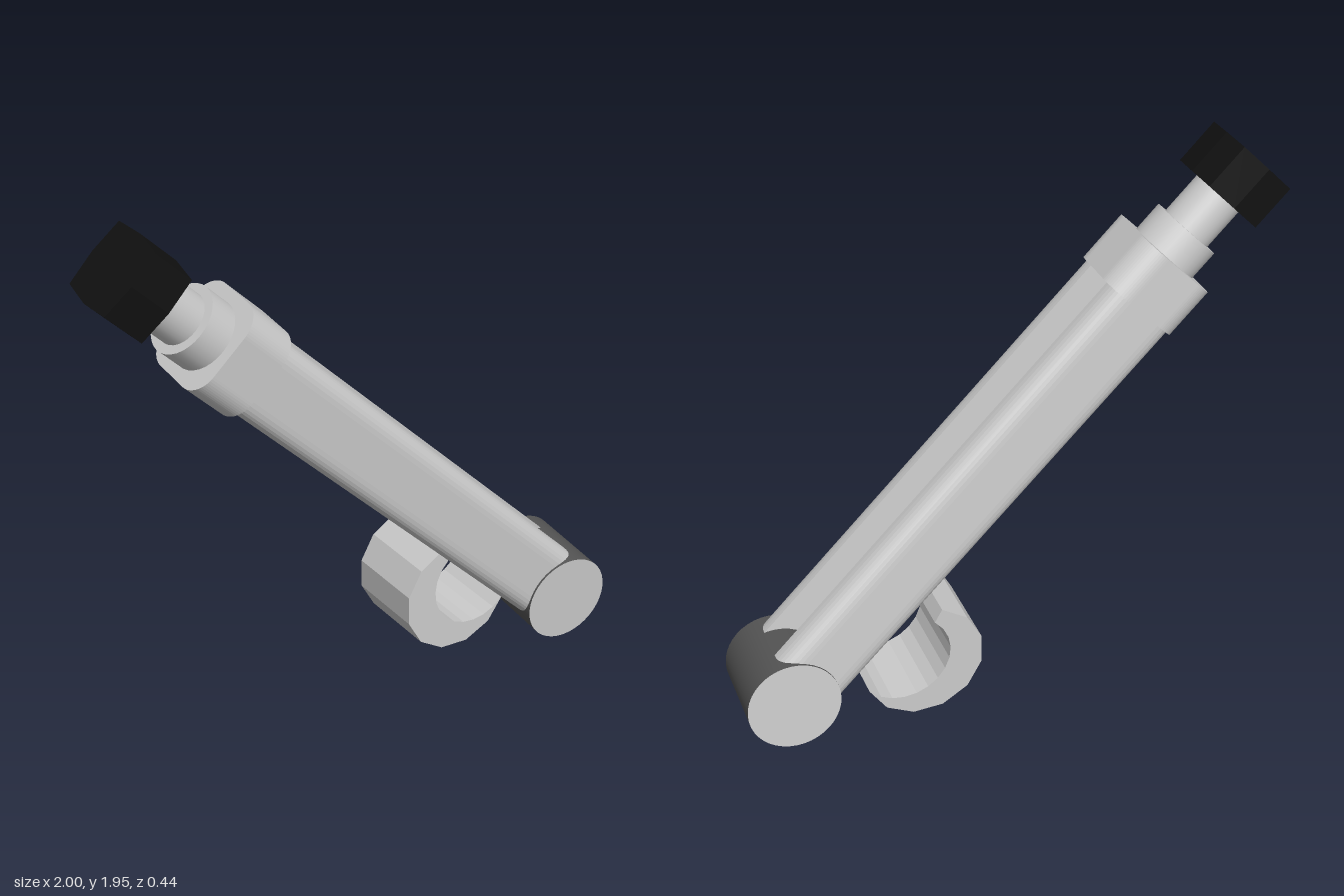
import * as THREE from 'three';

const grey = new THREE.MeshStandardMaterial({ color: 0xcccccc });
const flatGrey = new THREE.MeshStandardMaterial({ color: 0xcccccc, flatShading: true });
const darkGrey = new THREE.MeshStandardMaterial({ color: 0x555555 });
const black = new THREE.MeshStandardMaterial({ color: 0x111111, flatShading: true });

function part(parent, name, geometry, material) {
  const mesh = new THREE.Mesh(geometry, material);
  mesh.name = name;
  parent.add(mesh);
  return mesh;
}

// Extrudes a cross-section (local x, z) along the arm from start to end
function alongArm(shape, start, end) {
  const geometry = new THREE.ExtrudeGeometry(shape, {
    depth: end - start, bevelEnabled: false, curveSegments: 8,
  });
  geometry.rotateX(-Math.PI / 2);
  geometry.translate(0, start, 0);
  return geometry;
}

function roundedSquare(h, r) {
  const s = new THREE.Shape();
  s.absarc(h - r, h - r, r, 0, Math.PI / 2);
  s.absarc(-h + r, h - r, r, Math.PI / 2, Math.PI);
  s.absarc(-h + r, -h + r, r, Math.PI, Math.PI * 1.5);
  s.absarc(h - r, -h + r, r, Math.PI * 1.5, Math.PI * 2);
  return s;
}

// Flat inner side, outer side with two rounded corners
function railShape(halfWidth, inner, outer, side) {
  const s = new THREE.Shape();
  const r = outer - inner - 0.015;
  s.moveTo(-halfWidth, side * inner);
  s.lineTo(halfWidth, side * inner);
  s.lineTo(halfWidth, side * (outer - r));
  s.quadraticCurveTo(halfWidth, side * outer, halfWidth - r, side * outer);
  s.lineTo(-halfWidth + r, side * outer);
  s.quadraticCurveTo(-halfWidth, side * outer, -halfWidth, side * (outer - r));
  s.closePath();
  return s;
}

function rod(radius, start, end) {
  return new THREE.CylinderGeometry(radius, radius, end - start, 32)
    .translate(0, (start + end) / 2, 0);
}

export function createModel() {
  const model = new THREE.Group();
  model.name = 'armLink';

  // Arm frame: local y runs up the arm, local z along the hinge
  const arm = new THREE.Group();
  arm.name = 'arm';
  const along = new THREE.Vector3(-0.717, 0.697, 0.025).normalize();
  const across = along.clone().cross(new THREE.Vector3(-0.03, -0.068, 1)).normalize();
  const hinge = across.clone().cross(along);
  arm.quaternion.setFromRotationMatrix(new THREE.Matrix4().makeBasis(across, along, hinge));
  arm.position.set(0.826, 0.18, 0);
  model.add(arm);

  // Hinge barrel with pale end caps
  part(arm, 'hingeBarrel',
    new THREE.CylinderGeometry(0.165, 0.165, 0.33, 40).rotateX(Math.PI / 2),
    [darkGrey, grey, grey]);

  // Pair of rails
  for (const side of [1, -1]) {
    part(arm, side > 0 ? 'frontRail' : 'backRail',
      alongArm(railShape(0.14, 0.072, 0.157, side), 0.04, 1.8), grey);
  }

  // Rounded collar, stepped sleeve and neck
  part(arm, 'collar', alongArm(roundedSquare(0.166, 0.09), 1.79, 1.98), grey);
  part(arm, 'sleeve', rod(0.125, 1.97, 2.09), grey);
  part(arm, 'neck', rod(0.093, 2.08, 2.26), grey);

  // Knob: square with slightly bulged sides
  const c = 0.122, m = 0.135;
  const knob = new THREE.Shape([[c, c], [0, m], [-c, c], [-m, 0], [-c, -c], [0, -m], [c, -c], [m, 0]]
    .map(([x, y]) => new THREE.Vector2(x, y)));
  part(arm, 'knob', alongArm(knob, 2.245, 2.415), black);

  // Crescent hook under the rails: faceted outer arc, inner arc with a shifted centre
  const arc = (cx, cy, r, from, to, n) => Array.from({ length: n + 1 }, (_, i) => {
    const a = THREE.MathUtils.degToRad(from + (to - from) * i / n);
    return new THREE.Vector2(cx + r * Math.cos(a), cy + r * Math.sin(a));
  });
  const hook = new THREE.Shape([
    ...arc(0.378, 0.297, 0.215, 108, 340, 8),
    ...arc(0.45, 0.33, 0.167, 318, 132, 12),
  ]);
  const hookGeometry = new THREE.ExtrudeGeometry(hook, { depth: 0.31, bevelEnabled: false });
  hookGeometry.translate(0, 0, -0.22);
  part(model, 'hook', hookGeometry, flatGrey);

  return model;
}
